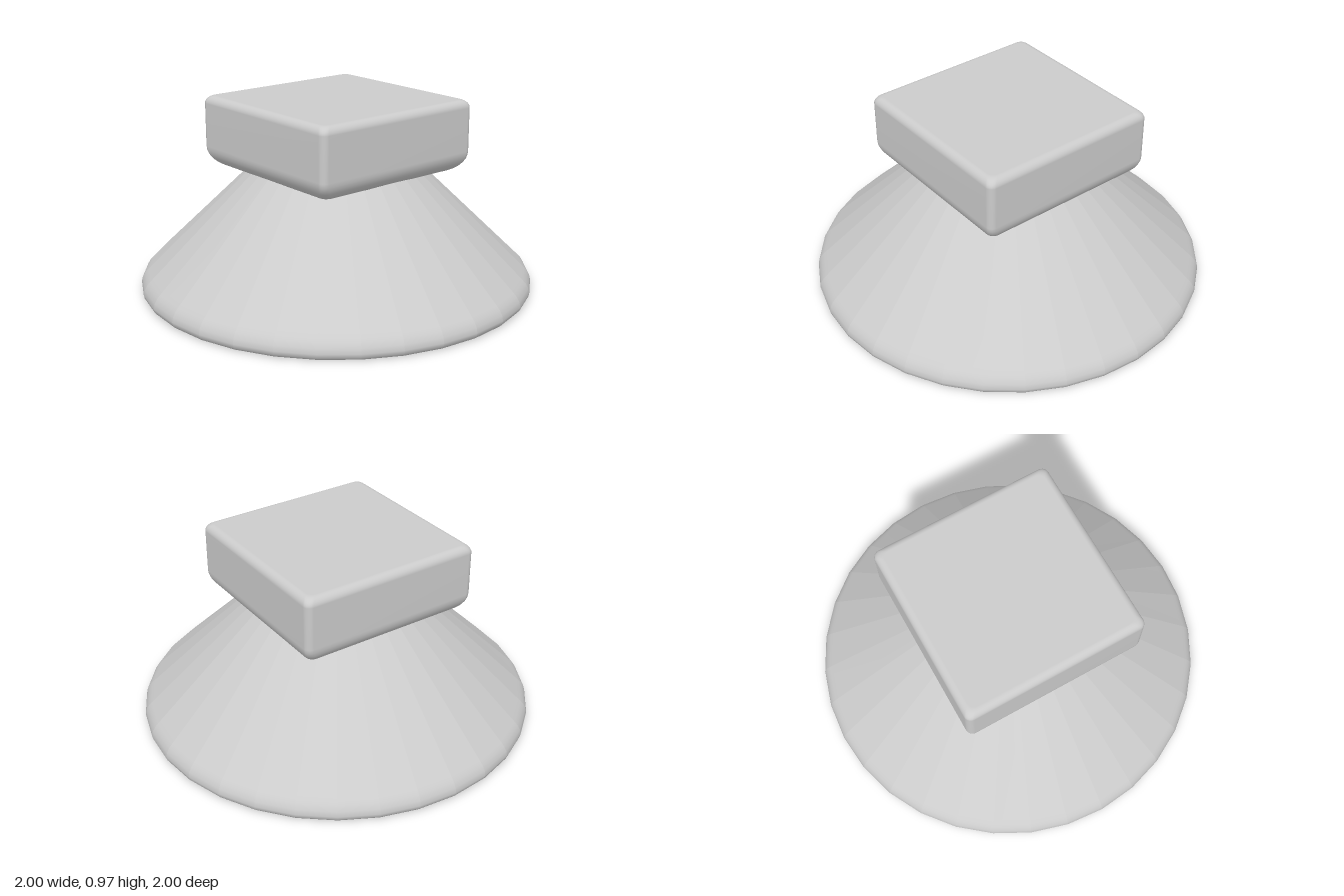
import * as THREE from 'three';
import { mergeGeometries } from 'three/addons/utils/BufferGeometryUtils.js';

const SIDES = 32;

// Revolves a profile into facets: flat around the axis, smooth along the profile.
function facetedLathe(profile) {
  const points = profile.map(([x, y]) => new THREE.Vector2(x, y));
  const step = (Math.PI * 2) / SIDES;
  const wedges = [];
  for (let i = 0; i < SIDES; i++) {
    const wedge = new THREE.LatheGeometry(points, 1, i * step, step);
    const n = wedge.attributes.normal;
    const mid = (i + 0.5) * step;
    for (let k = 0; k < n.count; k++) {
      const p = k % points.length;
      const phi = k < points.length ? i * step : (i + 1) * step;
      const radial = n.getX(p) * Math.sin(i * step) + n.getZ(p) * Math.cos(i * step);
      n.setXYZ(k, radial * Math.sin(mid), n.getY(p), radial * Math.cos(mid));
    }
    wedges.push(wedge);
  }
  return mergeGeometries(wedges);
}

// Rounded-square block lofted from stacked loops, with its own top and bottom edge radii.
function roundedBlock(half, y0, y1, bottomR, topR, cornerR) {
  const steps = 8, arc = 5;
  const levels = [];
  for (let i = 0; i <= steps; i++) {
    const a = (i / steps) * Math.PI / 2;
    levels.push([bottomR * (1 - Math.sin(a)), y0 + bottomR * (1 - Math.cos(a))]);
  }
  for (let i = 0; i <= steps; i++) {
    const a = (i / steps) * Math.PI / 2;
    levels.push([topR * (1 - Math.cos(a)), y1 - topR * (1 - Math.sin(a))]);
  }
  const pos = [], index = [];
  const ring = 4 * (arc + 1);
  for (const [inset, y] of levels) {
    const c = half - inset - cornerR;
    for (let q = 0; q < 4; q++) {
      const mid = (q + 0.5) * Math.PI / 2;
      for (let j = 0; j <= arc; j++) {
        const a = (q + j / arc) * Math.PI / 2;
        pos.push(Math.sign(Math.sin(mid)) * c + cornerR * Math.sin(a), y,
          Math.sign(Math.cos(mid)) * c + cornerR * Math.cos(a));
      }
    }
  }
  for (let l = 0; l < levels.length - 1; l++) {
    for (let j = 0; j < ring; j++) {
      const a = l * ring + j, b = l * ring + (j + 1) % ring;
      index.push(a, b, b + ring, a, b + ring, a + ring);
    }
  }
  // End caps
  const bottom = pos.length / 3, top = bottom + 1;
  const last = (levels.length - 1) * ring;
  pos.push(0, y0, 0, 0, y1, 0);
  for (let j = 0; j < ring; j++) {
    const k = (j + 1) % ring;
    index.push(bottom, k, j, top, last + j, last + k);
  }
  const g = new THREE.BufferGeometry();
  g.setAttribute('position', new THREE.Float32BufferAttribute(pos, 3));
  g.setIndex(index);
  g.computeVertexNormals();
  return g;
}

export function createModel() {
  const group = new THREE.Group();
  const material = new THREE.MeshStandardMaterial({ color: 0xcccccc });
  const add = (name, geometry) => {
    const mesh = new THREE.Mesh(geometry, material);
    mesh.name = name;
    group.add(mesh);
  };

  // Flared cone with a rounded rim, running up into the block
  add('coneOuter', facetedLathe([
    [0.97, 0], [0.985, 0.004], [0.996, 0.017], [1, 0.035], [0.994, 0.06],
    [0.98, 0.084], [0.965, 0.1], [0.95, 0.115], [0.42, 0.63], [0.36, 0.69],
  ]));

  // Hollow underside rising to a point
  add('coneInner', facetedLathe([[0, 0.58], [0.97, 0]]));

  // Square block on top, softer along its lower edges
  add('topBlock', roundedBlock(0.478, 0.605, 0.97, 0.105, 0.04, 0.035));

  return group;
}
